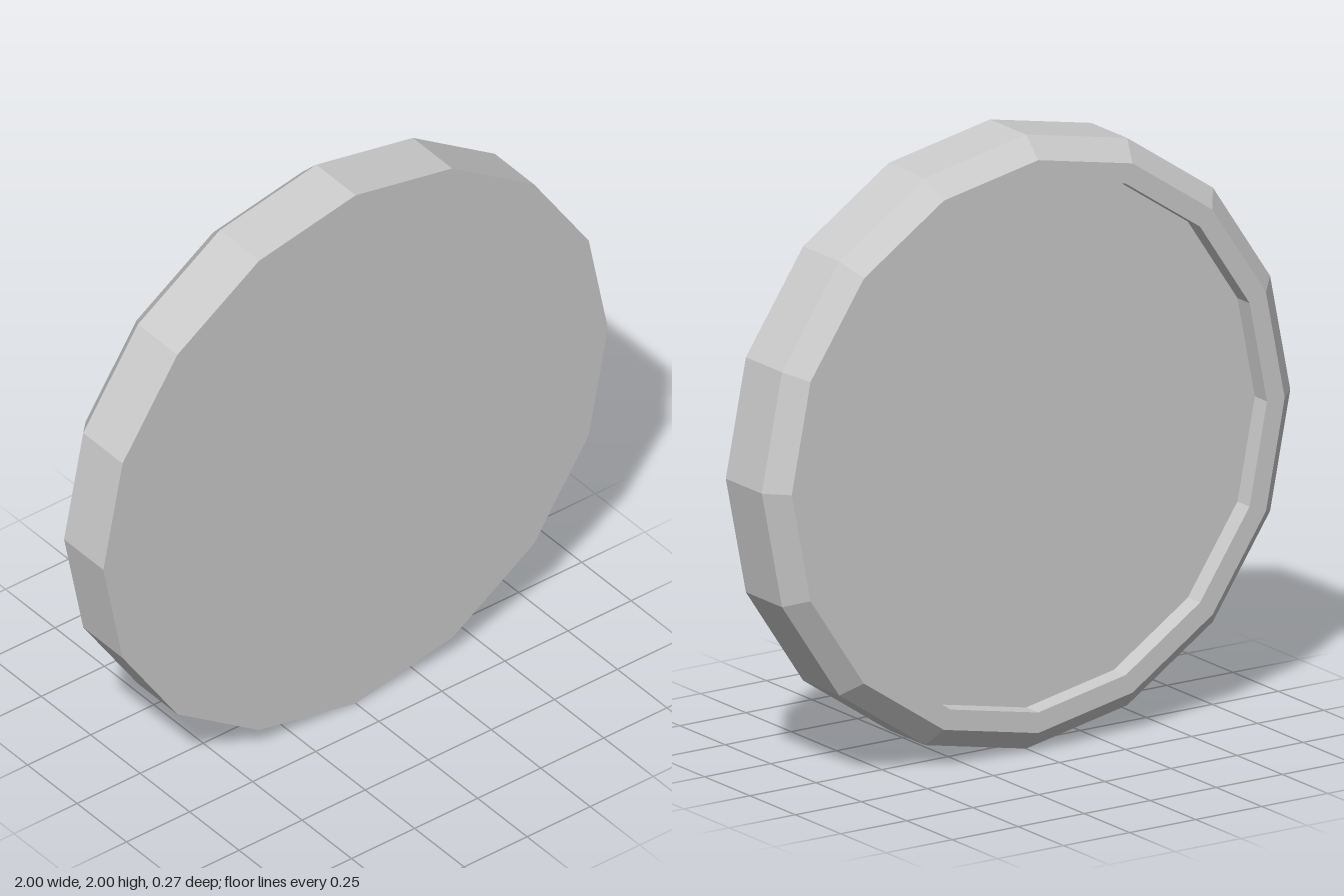
import * as THREE from 'three';

const SIDES = 16;
const HALF = 0.133; // half thickness
const STEP = 0.067; // chamfer, rim width and recess depth

export function createModel() {
  const group = new THREE.Group();
  group.name = 'disc';

  // Profile from the recessed back centre, over the rim, to the flat front centre
  const profile = [
    [0, -HALF + STEP], // recess floor
    [1 - 2 * STEP, -HALF + STEP],
    [1 - 2 * STEP, -HALF], // back rim
    [1 - STEP, -HALF],
    [1, -HALF + STEP], // chamfer
    [1, HALF], // outer wall
    [0, HALF], // front face
  ].map(([r, z]) => new THREE.Vector2(r, z));

  const geometry = new THREE.LatheGeometry(profile, SIDES);
  geometry.rotateX(Math.PI / 2); // turn the axis towards the front

  const body = new THREE.Mesh(
    geometry,
    new THREE.MeshStandardMaterial({ color: 0xcccccc, flatShading: true })
  );
  body.name = 'discBody';
  body.position.y = 1;
  group.add(body);
  return group;
}
